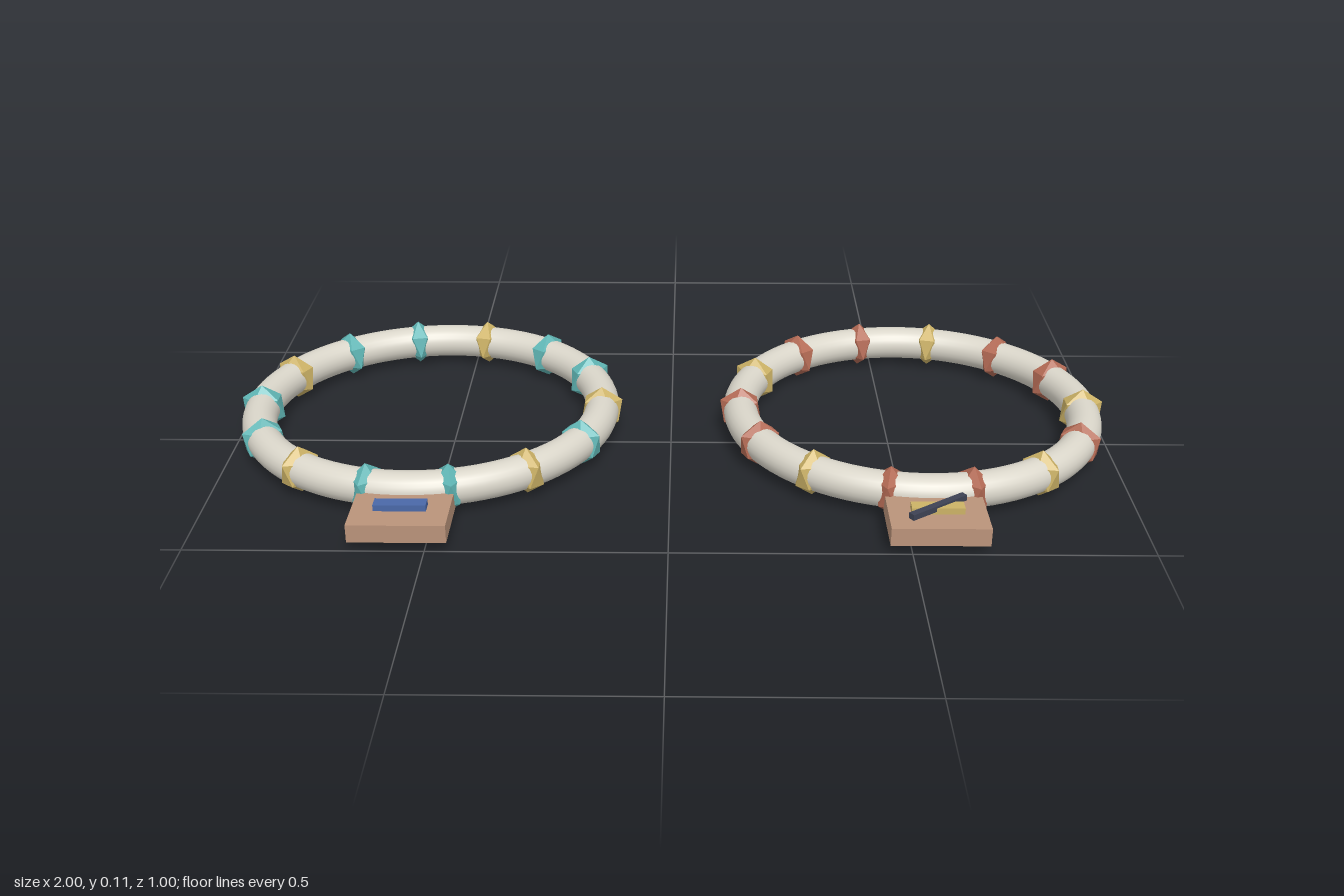
import * as THREE from 'three';

const mat = (name, color, flatShading = false) => {
  const m = new THREE.MeshStandardMaterial({ color, flatShading });
  m.name = name;
  return m;
};

export function createModel() {
  const ivory = mat('ivory', 0xdad6ca);
  const teal = mat('teal', 0x5fb5b4, true);
  const rust = mat('rust', 0xb36a54, true);
  const gold = mat('gold', 0xccb266, true);
  const tan = mat('tan', 0xba937a);
  const blue = mat('blue', 0x4a68a8);
  const slate = mat('slate', 0x3d4254);

  const RADIUS = 0.395, BEADS = 14, Y = 0.056;
  const hoopGeo = new THREE.TorusGeometry(RADIUS, 0.039, 24, 96).rotateX(Math.PI / 2);

  // faceted bead: vertex on top, one upper corner facing outward (+x), narrowed along the hoop
  const beadGeo = new THREE.IcosahedronGeometry(0.055, 0)
    .rotateZ(-Math.atan(2 / (1 + Math.sqrt(5))))
    .scale(0.96, 1, 0.62);

  const add = (parent, name, geo, material, x, y, z) => {
    const mesh = new THREE.Mesh(geo, material);
    mesh.name = name;
    mesh.position.set(x, y, z);
    parent.add(mesh);
    return mesh;
  };

  // one beaded bangle with its tag plate
  const bangle = (name, x, beadMaterial, markMaterial) => {
    const g = new THREE.Group();
    g.name = name;
    g.position.x = x;

    const ring = new THREE.Group();
    ring.name = 'beadedHoop';
    ring.position.set(0, Y, -0.063);
    add(ring, 'hoop', hoopGeo, ivory, 0, 0, 0);
    for (let i = 0; i < BEADS; i++) {
      const a = (i / BEADS) * Math.PI * 2;
      const bead = add(ring, 'bead', beadGeo, i % 3 === 0 ? gold : beadMaterial,
        Math.cos(a) * RADIUS, 0, -Math.sin(a) * RADIUS);
      bead.rotation.y = a;
    }
    g.add(ring);

    add(g, 'tag', new THREE.BoxGeometry(0.205, 0.04, 0.15), tan, 0, 0.041, 0.425);
    add(g, 'tagMark', new THREE.BoxGeometry(0.11, 0.014, 0.03), markMaterial, 0, 0.068, 0.425);
    return g;
  };

  const model = new THREE.Group();
  model.name = 'bangles';
  model.add(bangle('rightBangle', -0.556, teal, blue));
  const left = bangle('leftBangle', 0.556, rust, gold);
  // diagonal bar across the tag mark
  const bar = add(left, 'crossBar', new THREE.BoxGeometry(0.149, 0.013, 0.015), slate, 0, 0.0735, 0.428);
  bar.rotation.y = 0.63;
  model.add(left);
  return model;
}
